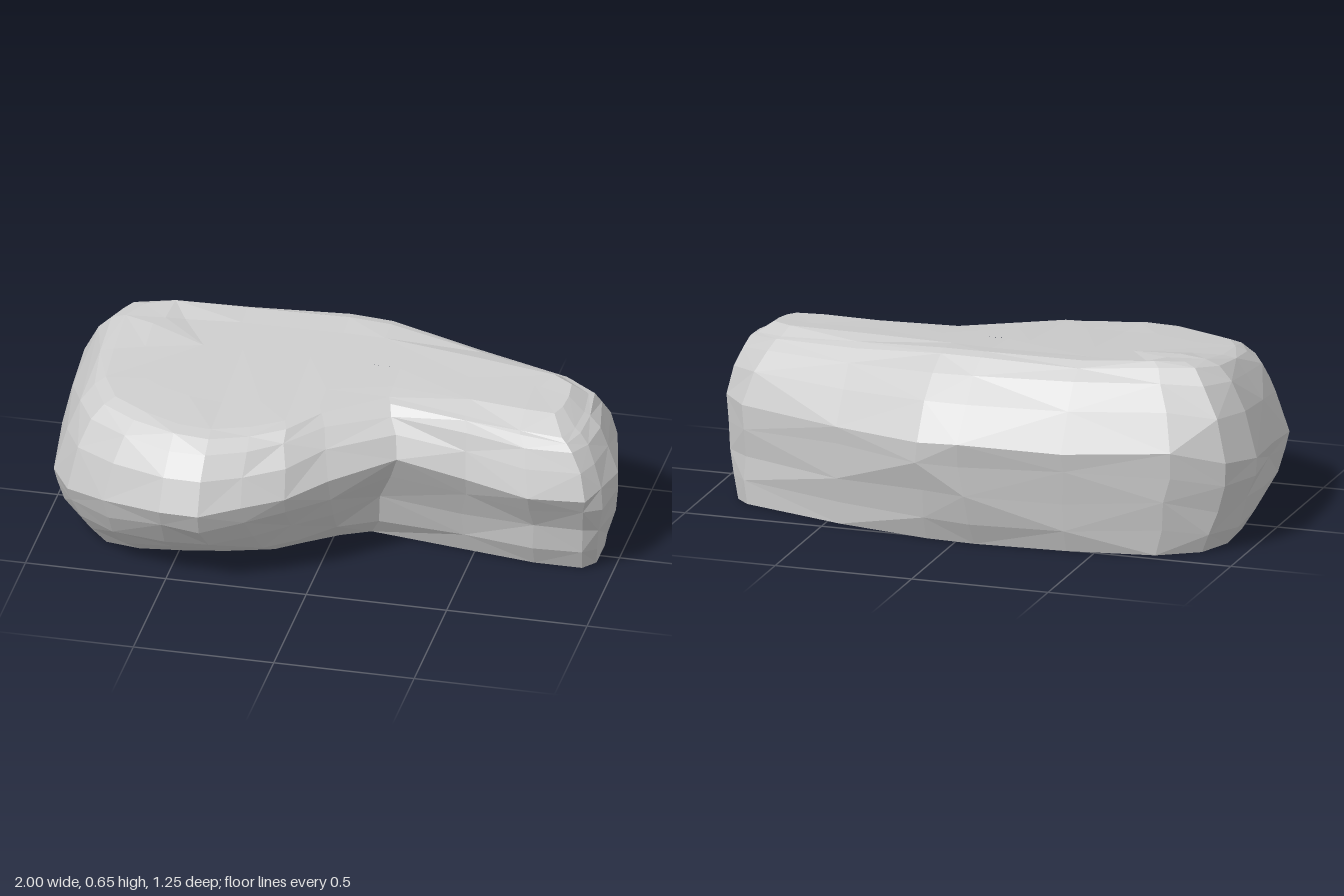
import * as THREE from 'three';

// Matching plan outlines [x, z], running from +x round by +z
const base = [
  [.93, -.08], [.93, .05], [.89, .1], [.72, .1], [.45, .06], [.12, .01], [.02, .06], [-.09, .14],
  [-.18, .21], [-.34, .26], [-.49, .29], [-.64, .31], [-.76, .29], [-.85, .14], [-.89, -.05], [-.9, -.24],
  [-.85, -.37], [-.71, -.46], [-.4, -.51], [-.07, -.53], [.11, -.52], [.45, -.45], [.83, -.33], [.88, -.28],
];
const belly = [
  [1, .02], [.97, .15], [.93, .23], [.73, .25], [.5, .21], [.26, .23], [.05, .38], [-.08, .49],
  [-.22, .56], [-.36, .62], [-.5, .61], [-.72, .52], [-.87, .42], [-.95, .28], [-.98, .02], [-1, -.22],
  [-.94, -.38], [-.77, -.48], [-.4, -.57], [-.04, -.63], [.11, -.62], [.45, -.49], [.85, -.33], [.94, -.23],
];
const shoulder = [
  [.87, -.02], [.86, .08], [.83, .15], [.68, .15], [.48, .12], [.2, .09], [-.02, .2], [-.12, .31],
  [-.23, .37], [-.36, .41], [-.48, .4], [-.61, .35], [-.73, .28], [-.79, .17], [-.8, 0], [-.8, -.18],
  [-.75, -.26], [-.65, -.3], [-.4, -.33], [-.04, -.34], [.11, -.33], [.45, -.26], [.75, -.2], [.86, -.13],
];

const lerp = THREE.MathUtils.lerp;
const mix = (a, b, t) => [lerp(a[0], b[0], t), lerp(a[1], b[1], t)];
const spine = ([x]) => [THREE.MathUtils.clamp(x, -.5, .7), -.08];

// Gently sloping top, higher at the back corner; its rim drops along the narrow end
const topY = ([x, z]) => .605 - .105 * z - .02 * Math.max(x, 0) + (x < -.6 && z < -.1 ? .017 : 0);
const rimY = (p) => topY(p) - .05 * Math.max(p[0] - .1, 0);

// Widest level: raised at the front hollow, lower at the -x end
const bellyY = ([x, z]) => {
  const y = .35 - .04 * z;
  if (z < .1) return x < -.93 ? y - .04 : y;
  return y + .08 * Math.exp(-(((x - .2) / .28) ** 2)) - .15 * Math.max(-x - .45, 0);
};

function createRings() {
  let seed = 7;
  const rough = (amount) => {
    seed = (seed * 16807) % 2147483647;
    return (seed / 2147483647 - .5) * amount;
  };
  const rings = [];
  const add = (fn) => rings.push(base.map((_, j) => fn(j)));
  const put = ([x, z], y) => [x, y, z];

  // Flat underside
  add((j) => put(spine(base[j]), 0));
  add((j) => put(base[j], 0));

  // Flank flaring outward; the narrow front end is undercut
  for (const [h, f, cut] of [[.22, .38, .26], [.5, .67, .42], [.78, .9, .74]]) {
    add((j) => {
      const p = mix(base[j], belly[j], j >= 2 && j <= 5 ? cut : f);
      return put([p[0] + rough(.016), p[1] + rough(.016)], h * bellyY(belly[j]) + rough(.03));
    });
  }
  add((j) => put(belly[j], bellyY(belly[j]) + rough(.02)));

  // Shoulder: rounded at the front and -x side, a plainer slope along the back and +x end
  for (const deg of [28, 52, 72]) {
    const a = THREE.MathUtils.degToRad(deg);
    const h = Math.sin(a);
    add((j) => {
      const roundness = j >= 17 && j <= 22 ? .4 : j >= 7 && j <= 16 ? .7 : .55;
      const p = mix(belly[j], shoulder[j], lerp(h, 1 - Math.cos(a), roundness));
      return put([p[0] + rough(.012), p[1] + rough(.012)],
        lerp(bellyY(belly[j]), rimY(shoulder[j]), h) + rough(.012));
    });
  }
  add((j) => put(shoulder[j], rimY(shoulder[j])));

  // Broad top closing on a spine line
  for (const t of [.35, 1]) {
    add((j) => {
      const p = mix(shoulder[j], spine(shoulder[j]), t);
      return put(p, topY(p) + (t < 1 ? rough(.008) : 0));
    });
  }
  return rings;
}

// Skin between successive rings
function loft(rings) {
  const n = rings[0].length;
  const index = [];
  for (let r = 0; r < rings.length - 1; r++) {
    for (let j = 0; j < n; j++) {
      const k = (j + 1) % n;
      const a = r * n + j, b = r * n + k, c = b + n, d = a + n;
      if ((r + j) % 2) index.push(a, d, b, b, d, c);
      else index.push(a, d, c, a, c, b);
    }
  }
  const geometry = new THREE.BufferGeometry();
  geometry.setAttribute('position', new THREE.Float32BufferAttribute(rings.flat(2), 3));
  geometry.setIndex(index);
  const flat = geometry.toNonIndexed();
  flat.computeVertexNormals();
  return flat;
}

export function createModel() {
  const group = new THREE.Group();
  group.name = 'rock';
  const boulder = new THREE.Mesh(
    loft(createRings()),
    new THREE.MeshStandardMaterial({ color: 0xcccccc, flatShading: true }),
  );
  boulder.name = 'boulder';
  group.add(boulder);
  return group;
}
